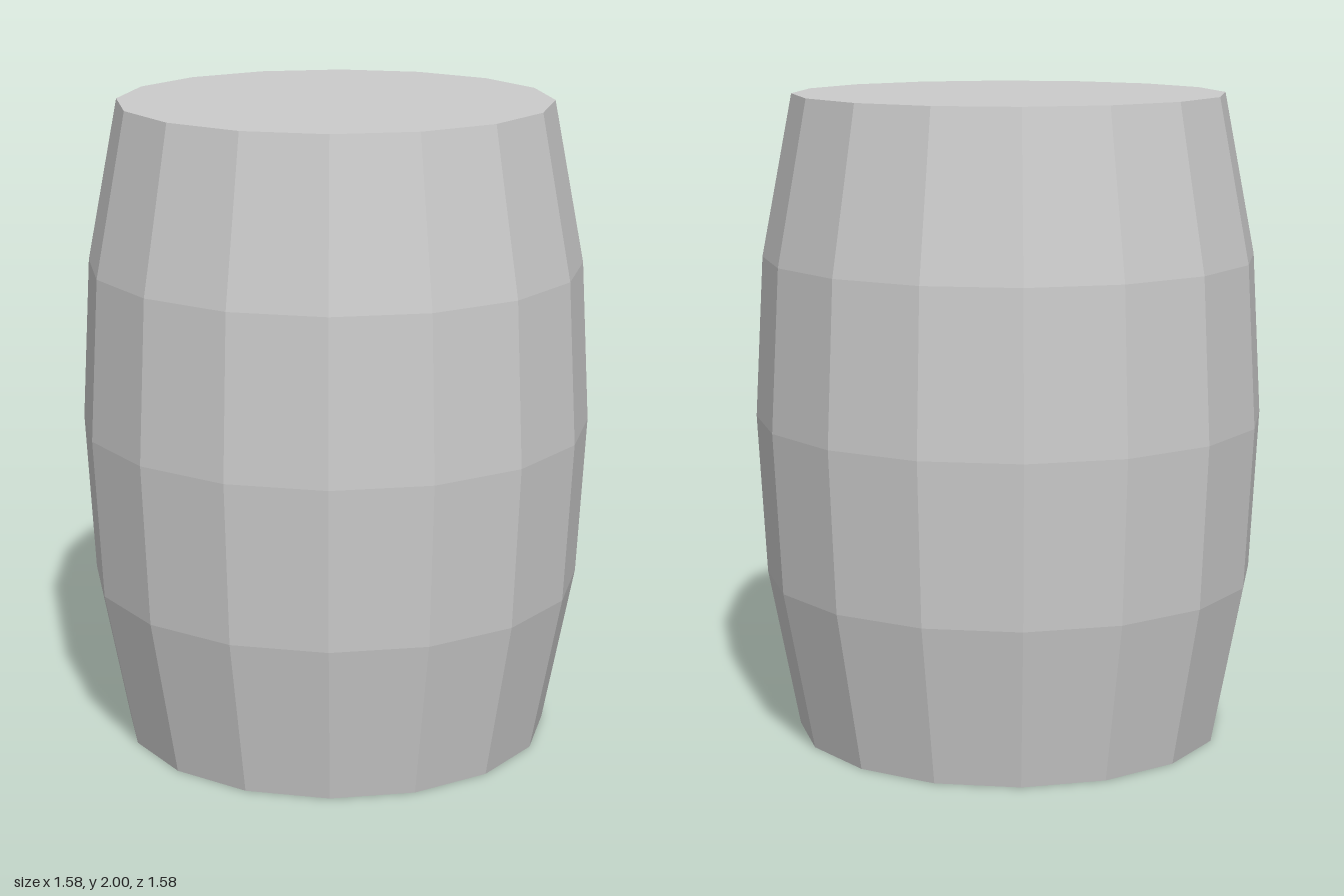
import * as THREE from 'three';

const SIDES = 16;
const END_RADIUS = 0.667;

// Half profile of the bulging staves, bottom to top: [radius, height]
const PROFILE = [[END_RADIUS, 0], [0.763, 0.5], [0.79, 1], [0.763, 1.5], [END_RADIUS, 2]];

export function createModel() {
  const group = new THREE.Group();
  group.name = 'barrel';
  const material = new THREE.MeshStandardMaterial({ color: 0xcccccc, flatShading: true });

  // Faceted barrel wall
  const points = PROFILE.map(([r, y]) => new THREE.Vector2(r, y));
  const wallGeometry = new THREE.LatheGeometry(points, SIDES).toNonIndexed();
  wallGeometry.computeVertexNormals();
  const wall = new THREE.Mesh(wallGeometry, material);
  wall.name = 'staves';
  group.add(wall);

  // Flat lid and base
  for (const [name, y, tilt] of [['lid', 2, -Math.PI / 2], ['base', 0, Math.PI / 2]]) {
    const disc = new THREE.Mesh(new THREE.CircleGeometry(END_RADIUS, SIDES), material);
    disc.name = name;
    disc.rotation.x = tilt;
    disc.position.y = y;
    group.add(disc);
  }
  return group;
}
